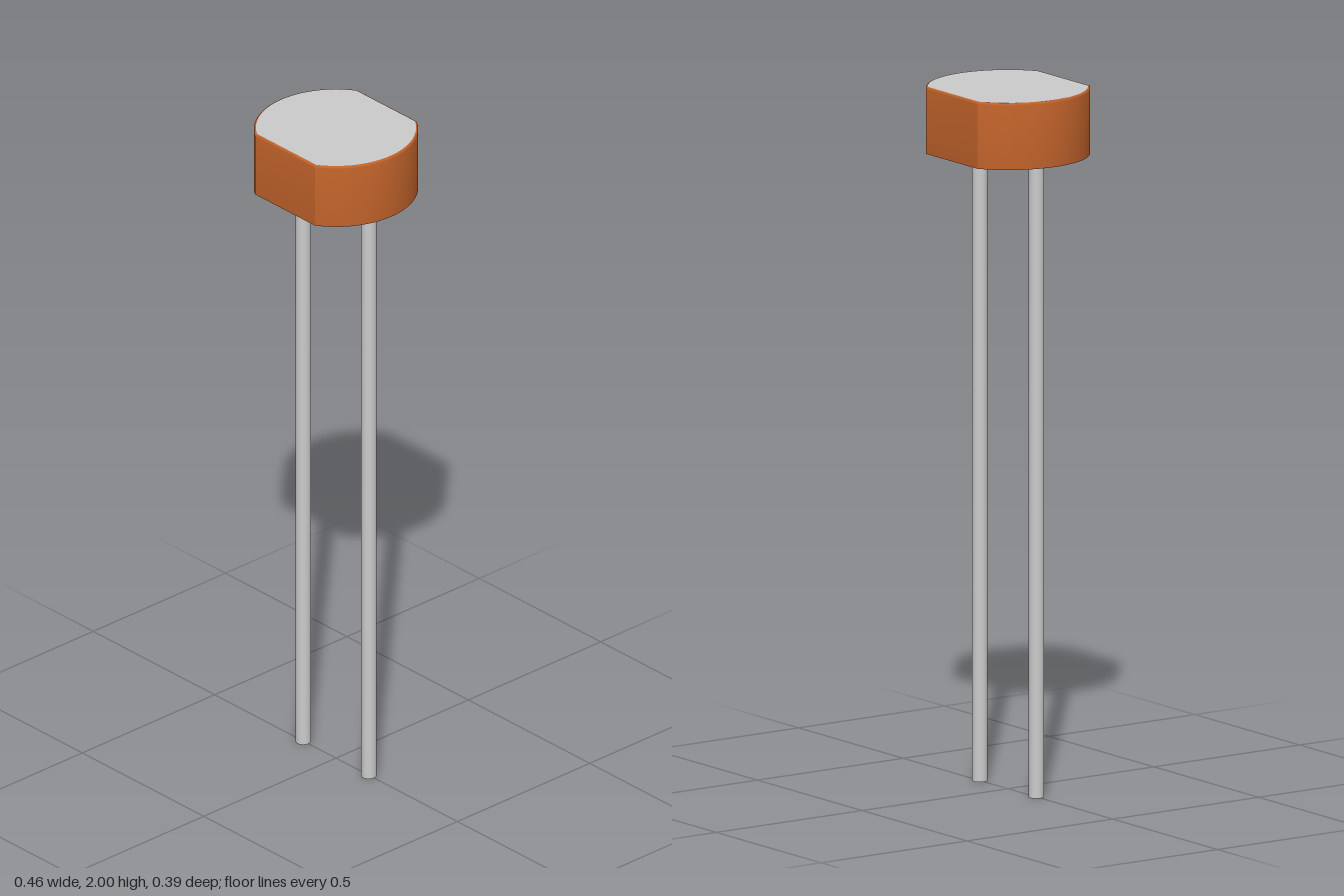
import * as THREE from 'three';
import { toCreasedNormals } from 'three/addons/utils/BufferGeometryUtils.js';

const RADIUS = 0.229, FLAT = 0.193, BASE = 1.81, TOP = 2, FILLET = 0.006, ARC = 32;

// Circle with a flat at the front and back, offset inwards by inset
function outline(inset) {
  const r = RADIUS - inset, half = Math.asin((FLAT - inset) / r), points = [];
  for (const start of [0, Math.PI]) {
    for (let i = 0; i <= ARC; i++) {
      const t = start - half + (2 * half * i) / ARC;
      points.push(new THREE.Vector2(r * Math.cos(t), r * Math.sin(t)));
    }
  }
  return points;
}

// Wall skinned over [inset, height] rings
function wall(rings) {
  const position = [], index = [], n = 2 * (ARC + 1);
  rings.forEach(([inset, y], k) => {
    outline(inset).forEach((p, i) => {
      position.push(p.x, y, p.y);
      if (k === 0) return;
      const a = (k - 1) * n + i, b = (k - 1) * n + ((i + 1) % n);
      index.push(a, a + n, b, b, a + n, b + n);
    });
  });
  const geometry = new THREE.BufferGeometry();
  geometry.setAttribute('position', new THREE.Float32BufferAttribute(position, 3));
  geometry.setIndex(index);
  return toCreasedNormals(geometry, Math.PI / 6);
}

// Flat cap facing up (1) or down (-1)
function cap(inset, y, facing) {
  return new THREE.ShapeGeometry(new THREE.Shape(outline(inset)))
    .rotateX((-facing * Math.PI) / 2)
    .translate(0, y, 0);
}

export function createModel() {
  const group = new THREE.Group();
  const orange = new THREE.MeshStandardMaterial({ color: 0xc0622a });
  const grey = new THREE.MeshStandardMaterial({ color: 0xcccccc });
  const add = (name, geometry, material) => {
    const mesh = new THREE.Mesh(geometry, material);
    mesh.name = name;
    group.add(mesh);
    return mesh;
  };

  // Body with a finely rounded top rim
  const rings = [[0, BASE]];
  for (let i = 0; i <= 4; i++) {
    const t = (i / 4) * Math.PI / 2;
    rings.push([FILLET * (1 - Math.cos(t)), TOP - FILLET * (1 - Math.sin(t))]);
  }
  add('bodyWall', wall(rings), orange);
  add('bodyBase', cap(0, BASE, -1), orange);
  add('topFace', cap(FILLET, TOP, 1), grey);

  // Two wire leads
  for (const side of [1, -1]) {
    const lead = add(side > 0 ? 'leftLead' : 'rightLead',
      new THREE.CylinderGeometry(0.022, 0.022, BASE, 32), grey);
    lead.position.set(side * 0.135, BASE / 2, 0);
  }
  return group;
}
